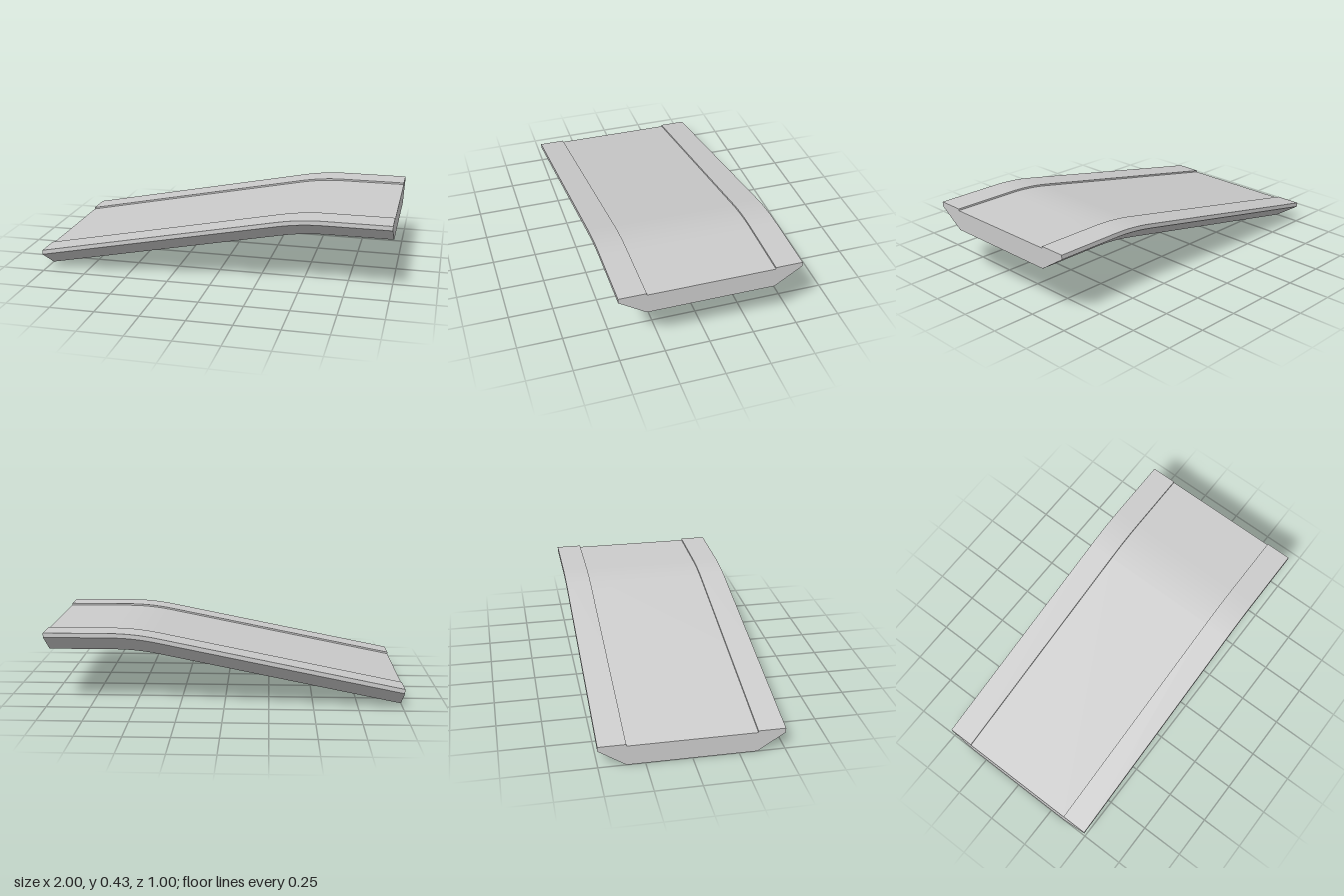
import * as THREE from 'three';
import { toCreasedNormals } from 'three/addons/utils/BufferGeometryUtils.js';

// Underside height along the ramp: straight incline, short easing curve, flat landing
const CURVE_START = 0.37, CURVE_END = 0.63, SLOPE = 0.2;
function rampHeight(x) {
  if (x <= CURVE_START) return (x + 1) * SLOPE;
  if (x >= CURVE_END) return 0.3;
  return 0.3 - SLOPE * (CURVE_END - x) ** 2 / (2 * (CURVE_END - CURVE_START));
}

export function createModel() {
  const group = new THREE.Group();
  group.name = 'ramp';

  // Half cross-section: chamfered underside, thin edge, raised kerb, lower deck
  const half = [[0.35, 0], [0.5, 0.1], [0.5, 0.125], [0.35, 0.125], [0.35, 0.115]];
  const mirrored = half.map(([z, y]) => [-z, y]).reverse();
  const section = new THREE.Shape([...half, ...mirrored].map(([z, y]) => new THREE.Vector2(z, y)));

  // Stations along x, closely spaced only through the curve
  const stations = [-1];
  for (let i = 0; i <= 8; i++) stations.push(CURVE_START + (CURVE_END - CURVE_START) * i / 8);
  stations.push(1);
  const steps = stations.length - 1;

  const geometry = new THREE.ExtrudeGeometry(section, { depth: steps, steps, bevelEnabled: false });
  geometry.rotateY(Math.PI / 2);

  // Move each section to its station and lift it onto the ramp line
  const pos = geometry.attributes.position;
  for (let i = 0; i < pos.count; i++) {
    const x = stations[Math.round(pos.getX(i))];
    pos.setX(i, x);
    pos.setY(i, pos.getY(i) + rampHeight(x));
  }
  geometry.computeVertexNormals();

  const deck = new THREE.Mesh(
    toCreasedNormals(geometry, 0.3),
    new THREE.MeshStandardMaterial({ color: 0xcccccc })
  );
  deck.name = 'rampDeckWithKerbs';
  group.add(deck);
  return group;
}
